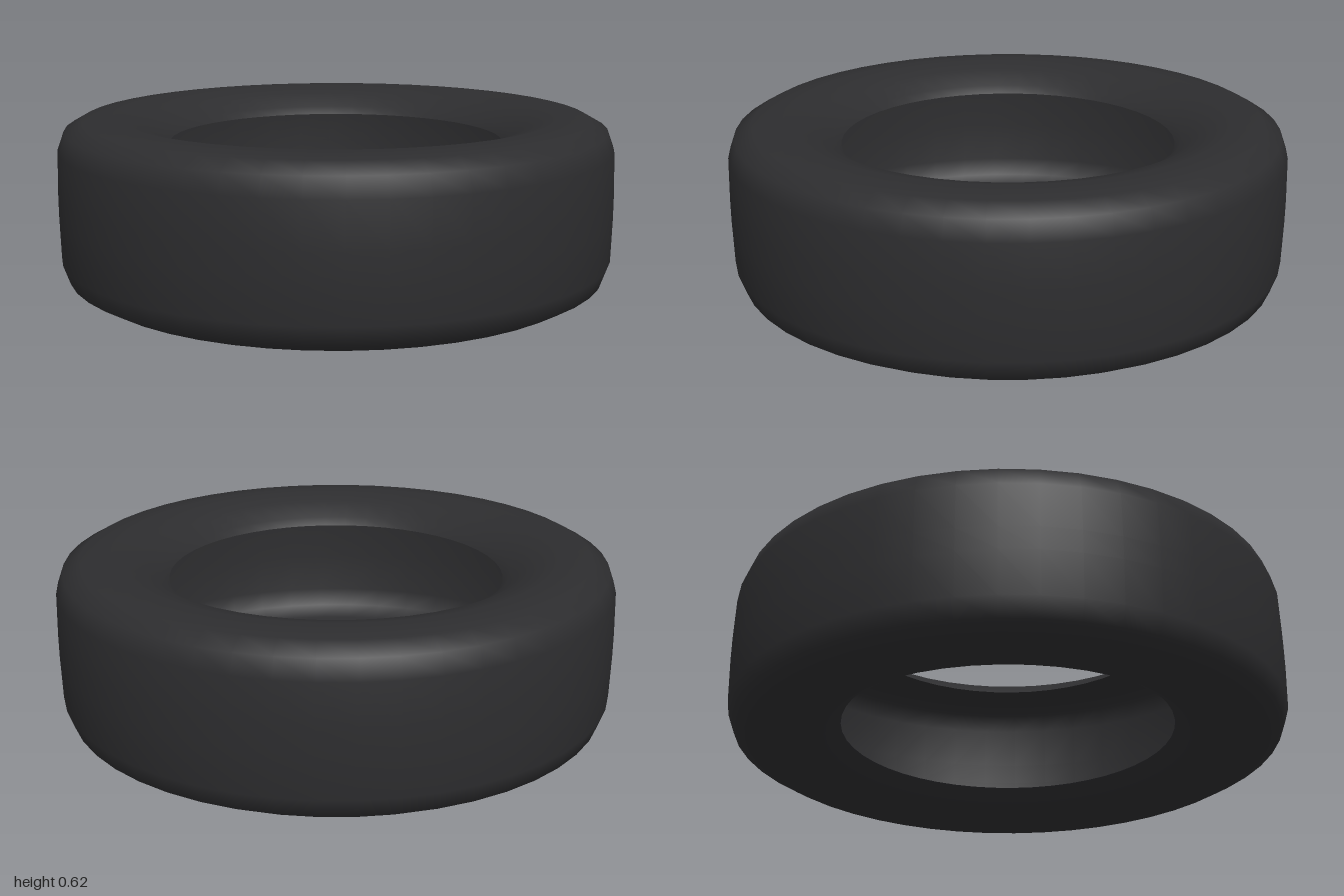
import * as THREE from 'three';

export function createModel() {
  const group = new THREE.Group();
  group.name = 'tyre';

  // Half of the cross-section, from the upper bead to the crown: [radius, height above the middle]
  const half = [
    [0.6, 0.21], [0.625, 0.237], [0.7, 0.282], [0.8, 0.31],
    [0.91, 0.297], [0.972, 0.262], [0.996, 0.195], [1, 0.04],
  ];
  const middle = 0.31;
  const lower = half.map(([r, h]) => new THREE.Vector2(r, middle - h));
  const upper = half.map(([r, h]) => new THREE.Vector2(r, middle + h)).reverse();

  // Hollow casing: an open shell, so the inside is seen through the bore
  const casing = new THREE.Mesh(
    new THREE.LatheGeometry([...lower, ...upper], 48),
    new THREE.MeshStandardMaterial({ color: 0x2d2d2f, side: THREE.DoubleSide })
  );
  casing.name = 'casing';
  group.add(casing);

  return group;
}
